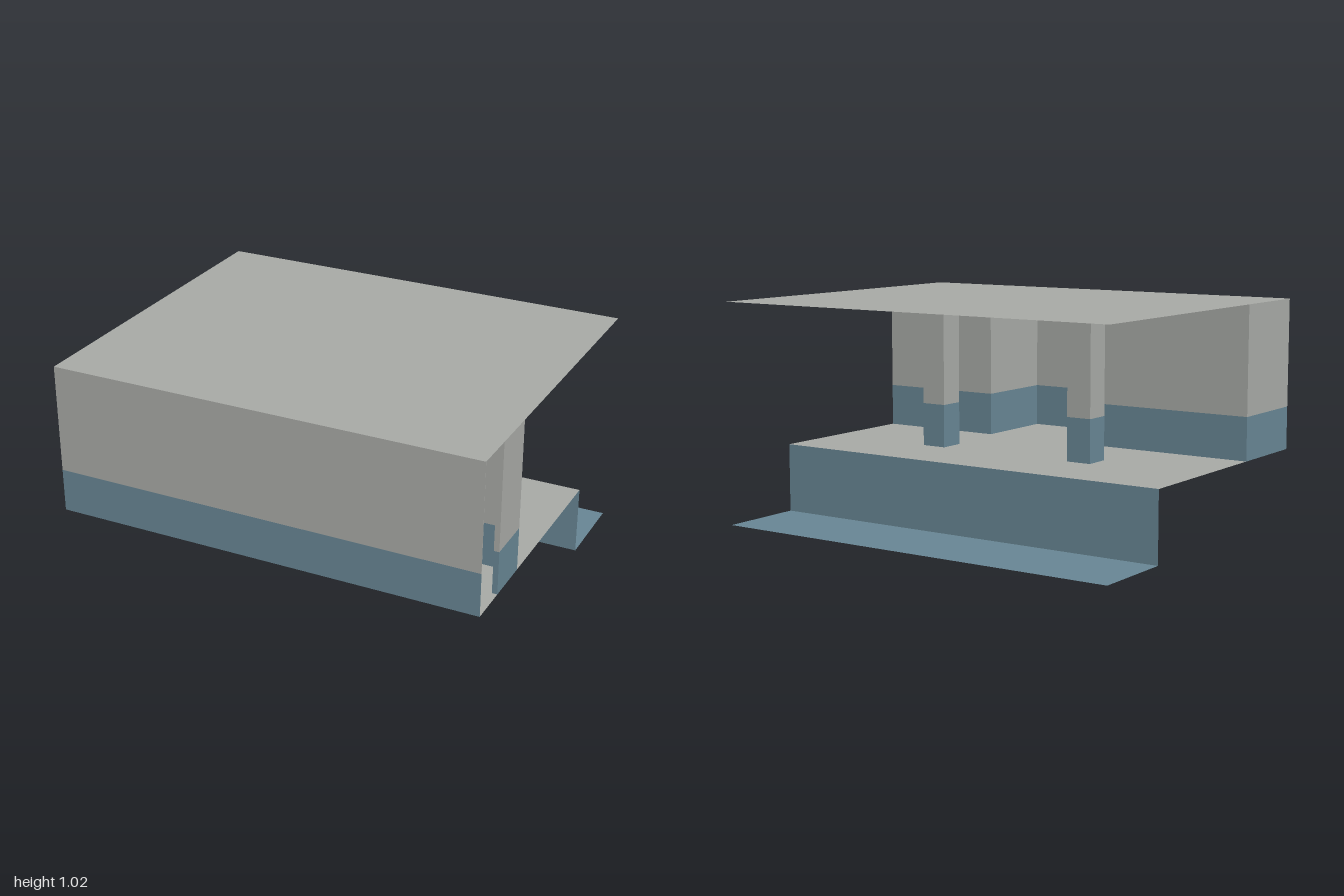
import * as THREE from 'three';

const FLOOR = 0.32, BAND = 0.52, ROOF = 1.02;
const T = 0.024; // wall thickness

export function createModel() {
  const root = new THREE.Group();
  const grey = new THREE.MeshStandardMaterial({ color: 0xa8aaa6, side: THREE.DoubleSide });
  grey.name = 'concreteGrey';
  const blue = new THREE.MeshStandardMaterial({ color: 0x688694, side: THREE.DoubleSide });
  blue.name = 'slateBlue';

  // flat horizontal sheet over a z range
  function sheet(name, y, z0, z1, material) {
    const g = new THREE.PlaneGeometry(2, z1 - z0).rotateX(-Math.PI / 2);
    const m = new THREE.Mesh(g, material);
    m.position.set(0, y, (z0 + z1) / 2);
    m.name = name;
    root.add(m);
  }

  // upright block with a blue base band and grey upper part, open at top and bottom
  function twoTone(name, x0, x1, z0, z1) {
    const group = new THREE.Group();
    group.name = name;
    for (const [part, y0, y1, mat] of [['lowerBand', FLOOR, BAND, blue], ['upperPart', BAND, ROOF, grey]]) {
      const m = new THREE.Mesh(new THREE.BoxGeometry(x1 - x0, y1 - y0, z1 - z0), mat);
      m.position.set((x0 + x1) / 2, (y0 + y1) / 2, (z0 + z1) / 2);
      m.name = part;
      group.add(m);
    }
    root.add(group);
  }

  // roof, platform floor, platform face and track bed
  sheet('roof', ROOF, -0.8, 0.8, grey);
  sheet('platformFloor', FLOOR, -0.4, 0.8, grey);
  sheet('trackBed', 0, -0.8, -0.4, blue);
  const face = new THREE.Mesh(new THREE.PlaneGeometry(2, FLOOR).rotateY(Math.PI), blue);
  face.position.set(0, FLOOR / 2, -0.4);
  face.name = 'platformFace';
  root.add(face);

  // outer wall panels between the partitions
  const h = T / 2, skin = 0.002;
  for (const [x0, x1] of [[-1, -0.2 - h], [-0.2 + h, 0.4 - h], [0.4 + h, 1]]) {
    twoTone('outerWallPanel', x0, x1, 0.8 - skin, 0.8);
  }

  // partitions between the rooms
  for (const x of [-0.2, 0.4]) twoTone('partition', x - h, x + h, 0.4 + h, 0.8);

  // room walls facing the platform, with the middle bay open
  twoTone('innerWall', -1, -0.2 + h, 0.4 - h, 0.4 + h);
  twoTone('innerWall', 0.4 - h, 1, 0.4 - h, 0.4 + h);

  // end walls: one closed, one with a doorway
  twoTone('closedEndWall', -1, -1 + skin, 0.4 + h, 0.8);
  twoTone('doorwayEndWall', 1 - T, 1, 0.4 + h, 0.61);

  // platform pillars
  for (const x of [-0.4, 0.4]) twoTone('pillar', x - 0.06, x + 0.06, -0.06, 0.06);

  return root;
}
